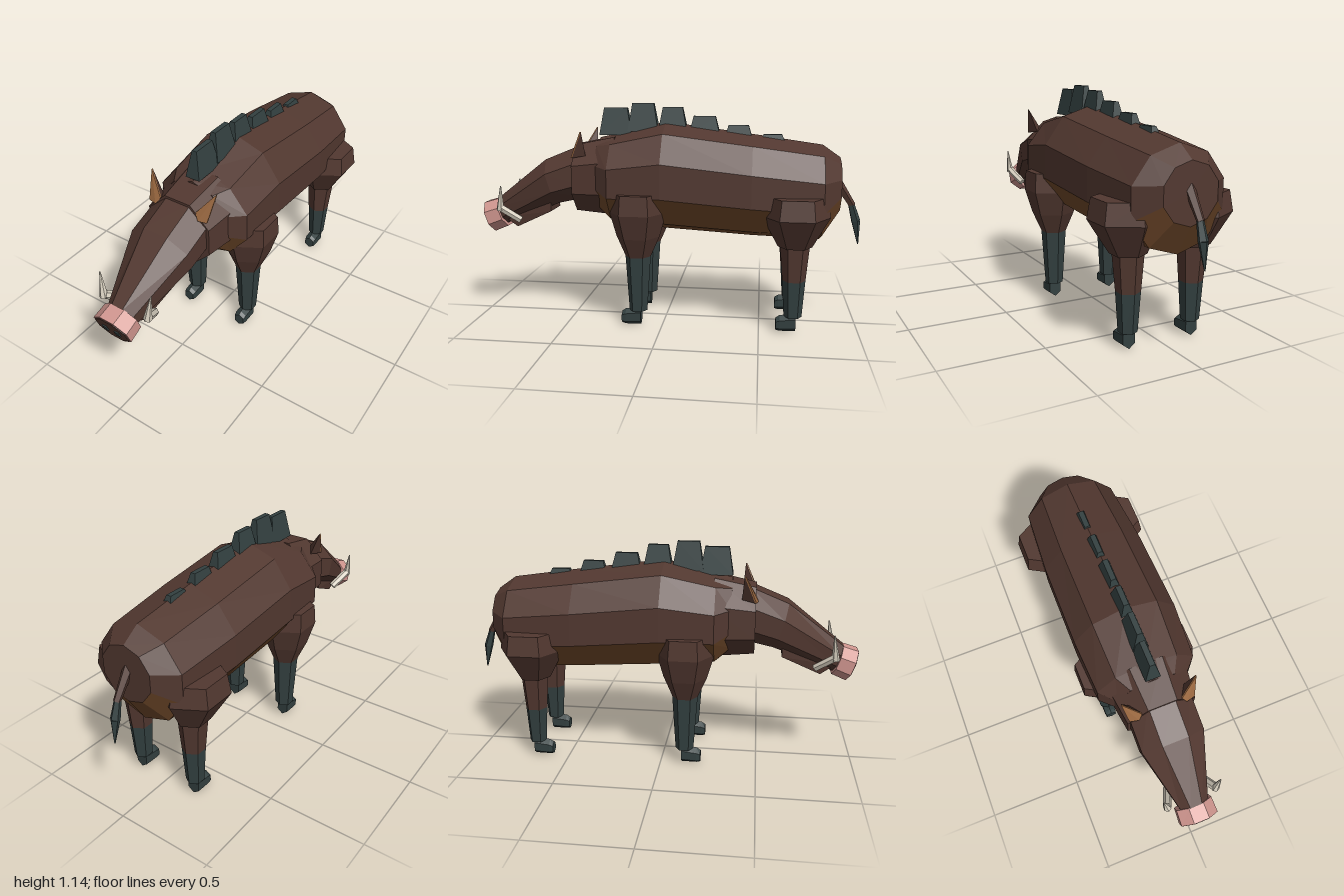
import * as THREE from 'three';
import { ConvexGeometry } from 'three/addons/geometries/ConvexGeometry.js';

const paint = (name, color) => {
  const m = new THREE.MeshStandardMaterial({ color, flatShading: true });
  m.name = name;
  return m;
};

// Loft n-sided rings [y, z, rx, ry, tilt], ordered back to front; keep(j) selects the strips to build
function loft(rings, n, phase, keep = () => true, caps = true) {
  const pos = [];
  const pts = rings.map(([y, z, rx, ry, tilt = 0]) =>
    Array.from({ length: n }, (_, j) => {
      const a = phase + (j / n) * Math.PI * 2;
      const h = Math.sin(a) * ry;
      return [Math.cos(a) * rx, y + h * Math.cos(tilt), z + h * Math.sin(tilt)];
    }));
  const last = rings.length - 1;
  for (let j = 0; j < n; j++) {
    const k = (j + 1) % n;
    if (keep(j)) {
      for (let i = 0; i < last; i++) {
        const [a, b, c, d] = [pts[i][j], pts[i][k], pts[i + 1][k], pts[i + 1][j]];
        pos.push(...a, ...b, ...c, ...a, ...c, ...d);
      }
    }
    if (caps) {
      pos.push(0, rings[0][0], rings[0][1], ...pts[0][k], ...pts[0][j]);
      pos.push(0, rings[last][0], rings[last][1], ...pts[last][j], ...pts[last][k]);
    }
  }
  const g = new THREE.BufferGeometry();
  g.setAttribute('position', new THREE.Float32BufferAttribute(pos, 3));
  g.computeVertexNormals();
  return g;
}

const V = (x, y, z) => new THREE.Vector3(x, y, z);
const hull = (points) => new ConvexGeometry(points.map((p) => V(...p)));

export function createModel() {
  const model = new THREE.Group();
  model.name = 'wildBoar';
  const hide = paint('brown hide', 0x523830);
  const belly = paint('tan belly', 0x70492a);
  const slate = paint('dark slate', 0x334040);
  const tan = paint('inner ear tan', 0x9a6840);
  const pink = paint('snout pink', 0xd0968f);
  const ivory = paint('ivory', 0xd8d0c0);

  const add = (name, geometry, material, parent = model) => {
    const m = new THREE.Mesh(geometry, material);
    m.name = name;
    parent.add(m);
    return m;
  };
  // Tapered prism between two points
  const limb = (name, from, to, r0, r1, sides, material, parent) => {
    const a = V(...from), b = V(...to);
    const m = add(name, new THREE.CylinderGeometry(r1, r0, a.distanceTo(b), sides), material, parent);
    m.position.copy(a).lerp(b, 0.5);
    m.quaternion.setFromUnitVectors(V(0, 1, 0), b.clone().sub(a).normalize());
    return m;
  };

  // Body: ten-sided barrel with a vertex on top, lower four strips form the belly
  const barrel = [
    [0.735, -0.89, 0.145, 0.142],
    [0.695, -0.80, 0.25, 0.245],
    [0.725, -0.45, 0.275, 0.265],
    [0.768, 0, 0.28, 0.282],
    [0.75, 0.27, 0.265, 0.235],
    [0.775, 0.35, 0.19, 0.19],
  ];
  const isBelly = (j) => j >= 5 && j <= 8;
  const phase = Math.PI / 10;
  add('body', loft(barrel, 10, phase, (j) => !isBelly(j)), hide);
  add('belly', loft(barrel, 10, phase, isBelly, false), belly);

  // Neck and head: eight-sided with a flat top
  const flat = Math.PI / 8;
  add('neck', loft([[0.77, 0.26, 0.218, 0.22], [0.757, 0.47, 0.188, 0.187]], 8, flat), hide);
  add('head', loft([
    [0.79, 0.43, 0.172, 0.15, 0.1],
    [0.735, 0.60, 0.173, 0.13, 0.3],
    [0.56, 0.90, 0.078, 0.076, 0.4],
  ], 8, flat), hide);
  add('jaw', hull([-1, 1].flatMap((s) => [
    [s * 0.085, 0.575, 0.61], [s * 0.085, 0.65, 0.61],
    [s * 0.05, 0.48, 0.81], [s * 0.05, 0.53, 0.88],
  ])), hide);

  // Snout: pink ring, dark face and nostrils, tipped downward
  const snout = new THREE.Group();
  snout.name = 'snout';
  snout.position.set(0, 0.54, 0.935);
  snout.rotation.x = 0.34;
  model.add(snout);
  add('snoutRing', loft([[0, -0.043, 0.1, 0.085], [0, 0.037, 0.104, 0.09]], 8, flat), pink, snout);
  add('snoutFace', loft([[0, 0.03, 0.098, 0.085], [0, 0.041, 0.093, 0.08]], 8, flat), hide, snout);
  for (const s of [-1, 1]) {
    add('nostril', new THREE.BoxGeometry(0.024, 0.034, 0.008), slate, snout).position.set(s * 0.035, 0, 0.043);
  }

  // Ears and tusks
  for (const s of [-1, 1]) {
    const front = [[0.185, 1.005, 0.41], [0.1, 0.9, 0.46], [0.122, 0.87, 0.475], [0.166, 0.87, 0.465]]
      .map(([x, y, z]) => [s * x, y, z]);
    add('ear', hull([...front, [s * 0.14, 0.88, 0.4]]), hide);
    add('innerEar', hull([...front, ...front.map(([x, y, z]) => [x, y, z + 0.007])]), tan);
    const tusk = new THREE.Group();
    tusk.name = 'tusk';
    model.add(tusk);
    const elbow = [s * 0.128, 0.595, 0.87];
    limb('tuskBase', [s * 0.085, 0.525, 0.78], elbow, 0.02, 0.021, 6, ivory, tusk);
    limb('tuskTip', [s * 0.128, 0.583, 0.874], [s * 0.146, 0.715, 0.86], 0.021, 0.003, 6, ivory, tusk);
  }

  // Crest plates: [z back, z front, base y, top y]
  const plates = [
    [0.18, 0.35, 0.98, 1.12], [0.04, 0.20, 1.0, 1.145], [-0.11, 0.04, 1.0, 1.125],
    [-0.28, -0.12, 0.98, 1.08], [-0.45, -0.30, 0.95, 1.035], [-0.62, -0.48, 0.93, 0.99],
  ];
  for (const [z0, z1, y0, y1] of plates) {
    const w = 0.022 + (y1 - y0) * 0.12;
    add('crestPlate', hull([-1, 1].flatMap((s) => [
      [s * w, y0, z0], [s * w, y0, z1], [s * 0.013, y1, z0 + 0.025], [s * 0.013, y1, z1 - 0.022],
    ])), slate);
  }

  // Legs: stacked hexagonal sections [top y, bottom y, top r, bottom r, top x, bottom x, material]
  const foreleg = [
    [0.70, 0.60, 0.135, 0.148, 0.18, 0.175, hide],
    [0.60, 0.475, 0.148, 0.112, 0.175, 0.172, hide],
    [0.475, 0.37, 0.112, 0.066, 0.172, 0.17, hide],
    [0.37, 0.08, 0.066, 0.047, 0.17, 0.17, slate],
  ];
  const hindleg = [
    [0.70, 0.60, 0.15, 0.168, 0.19, 0.19, hide],
    [0.60, 0.445, 0.168, 0.085, 0.19, 0.172, hide],
    [0.445, 0.27, 0.073, 0.058, 0.172, 0.17, hide],
    [0.27, 0.08, 0.058, 0.045, 0.17, 0.17, slate],
  ];
  const hoof = loft([[0.048, -0.05, 0.036, 0.047], [0.042, 0.03, 0.036, 0.042], [0.038, 0.05, 0.032, 0.033]], 6, Math.PI / 6);
  for (const [name, sections, z] of [['frontLeg', foreleg, 0.125], ['hindLeg', hindleg, -0.67]]) {
    for (const s of [-1, 1]) {
      const leg = new THREE.Group();
      leg.name = name;
      leg.position.z = z;
      model.add(leg);
      for (const [yt, yb, rt, rb, xt, xb, material] of sections) {
        const g = new THREE.CylinderGeometry(rt, rb, yt - yb, 6);
        const p = g.attributes.position;
        // Slide the section ends so the leg leans inward
        for (let i = 0; i < p.count; i++) {
          p.setX(i, p.getX(i) + s * (p.getY(i) > 0 ? xt : xb));
        }
        add(material === slate ? 'shin' : 'upperLeg', g, material, leg).position.y = (yt + yb) / 2;
      }
      add('hoof', hoof, slate, leg).position.set(s * 0.17, 0, 0.035);
    }
  }

  // Tail with a dark tuft
  limb('tail', [0, 0.765, -0.87], [0, 0.63, -0.96], 0.026, 0.018, 5, hide);
  limb('tailTuft', [0, 0.65, -0.95], [0, 0.55, -0.98], 0.016, 0.024, 5, slate);
  limb('tailTip', [0, 0.55, -0.98], [0, 0.43, -0.997], 0.024, 0.003, 5, slate);
  return model;
}
